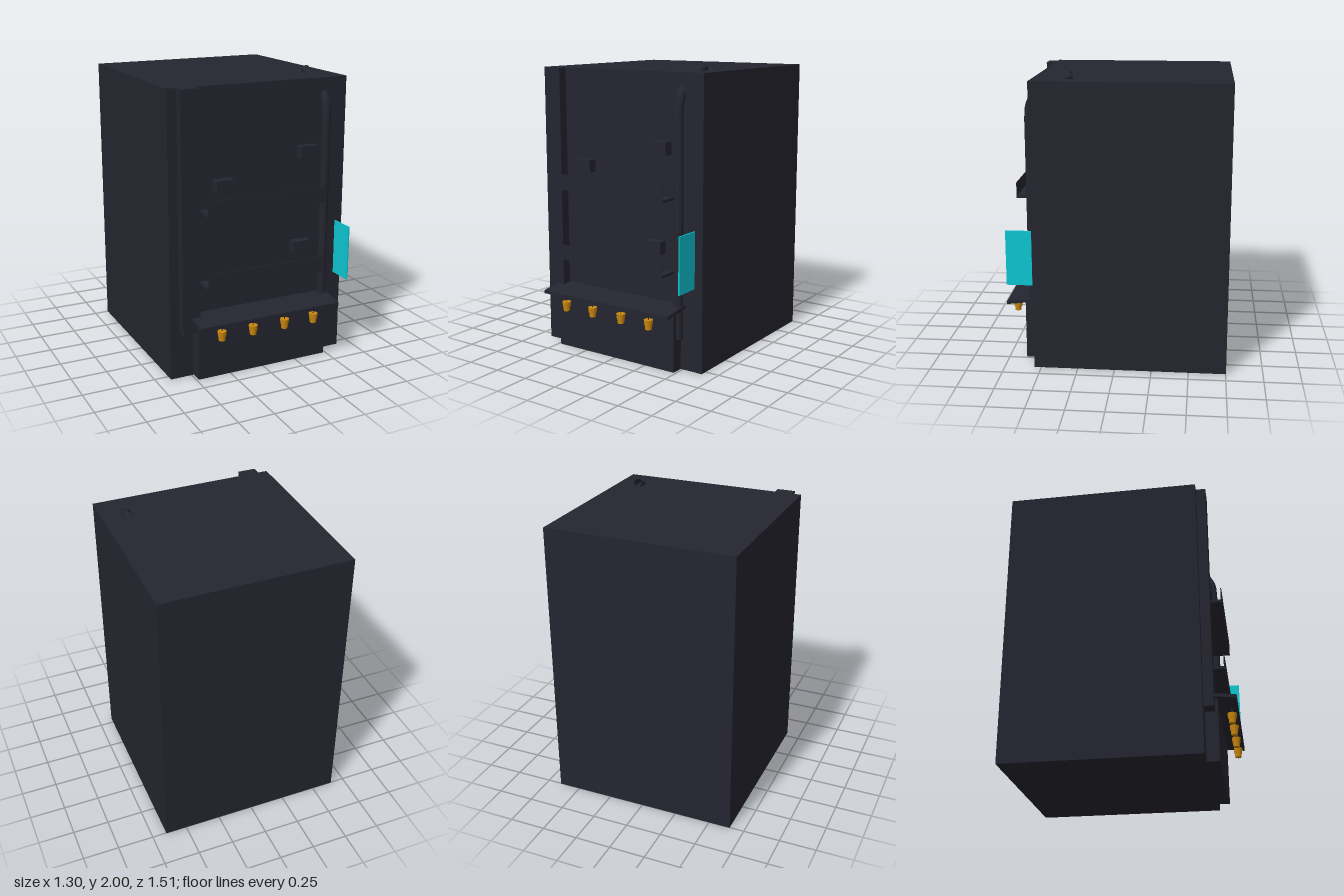
import * as THREE from 'three';

const dark = new THREE.MeshStandardMaterial({ color: 0x252530, side: THREE.DoubleSide });
dark.name = 'charcoal';
const cyan = new THREE.MeshStandardMaterial({ color: 0x0dc8d4 });
cyan.name = 'cyan';
const amber = new THREE.MeshStandardMaterial({ color: 0xcc880e });
amber.name = 'amber';

const WALL = 0.547; // front face of the main body

function add(parent, name, geometry, material, x = 0, y = 0, z = 0) {
  const mesh = new THREE.Mesh(geometry, material);
  mesh.name = name;
  mesh.position.set(x, y, z);
  parent.add(mesh);
  return mesh;
}

// Box given by its extents on each axis
function box(parent, name, material, x0, x1, y0, y1, z0, z1) {
  return add(parent, name, new THREE.BoxGeometry(x1 - x0, y1 - y0, z1 - z0), material,
    (x0 + x1) / 2, (y0 + y1) / 2, (z0 + z1) / 2);
}

export function createModel() {
  const model = new THREE.Group();
  model.name = 'stall';

  // Main block with its front column and counter base
  box(model, 'body', dark, -0.65, 0.65, 0, 1.95, -0.753, WALL);
  box(model, 'column', dark, -0.585, -0.46, 0.33, 1.95, WALL, 0.612);
  box(model, 'counterBase', dark, -0.485, 0.485, 0, 0.42, WALL, 0.63);

  // Sloping counter top, extruded sideways from its side profile
  const profile = new THREE.Shape();
  profile.moveTo(-WALL, 0.425);
  profile.lineTo(-0.753, 0.4);
  profile.lineTo(-0.753, 0.422);
  profile.lineTo(-WALL, 0.447);
  const top = new THREE.ExtrudeGeometry(profile, { depth: 1.04, bevelEnabled: false });
  top.rotateY(Math.PI / 2);
  add(model, 'counterTop', top, dark, -0.52, 0, 0);

  // Two wall racks, each a floor with a thin upright lip
  for (const y of [1.133, 0.643]) {
    const rack = new THREE.Group();
    rack.name = 'rack';
    box(rack, 'rackFloor', dark, -0.435, 0.43, y, y + 0.018, WALL, 0.682);
    box(rack, 'rackLip', dark, -0.435, 0.43, y, y + 0.107, 0.677, 0.683);
    model.add(rack);
  }

  // Small wall boxes
  for (const [x, y] of [[-0.275, 1.302], [0.344, 1.468], [0.3, 0.813]]) {
    box(model, 'wallBox', dark, x - 0.064, x + 0.064, y - 0.043, y + 0.043, WALL, 0.61);
  }

  // Pipe rising up the wall, bending through it and out of the roof
  const bend = new THREE.CatmullRomCurve3([
    [1.62, 0.575], [1.7, 0.574], [1.78, 0.564], [1.84, 0.528], [1.88, 0.474], [1.925, 0.382], [1.973, 0.284],
  ].map(([y, z]) => new THREE.Vector3(0.485, y, z)));
  add(model, 'pipeUpright', new THREE.CylinderGeometry(0.03, 0.03, 1.4, 16), dark, 0.485, 0.92, 0.575);
  add(model, 'pipeBend', new THREE.TubeGeometry(bend, 28, 0.03, 16), dark);

  // Hanging lamps under the counter edge
  for (const x of [-0.352, -0.122, 0.117, 0.342]) {
    const lamp = new THREE.Group();
    lamp.name = 'lamp';
    lamp.position.set(x, 0, 0.712);
    add(lamp, 'lampWire', new THREE.CylinderGeometry(0.003, 0.003, 0.06, 6), dark, 0, 0.385, 0);
    add(lamp, 'lampHead', new THREE.CylinderGeometry(0.031, 0.027, 0.038, 12), amber, 0, 0.341, 0);
    add(lamp, 'lampFoot', new THREE.CylinderGeometry(0.024, 0.022, 0.03, 12), amber, 0, 0.309, 0);
    model.add(lamp);
  }

  // Projecting sign panel
  box(model, 'signPanel', cyan, 0.588, 0.598, 0.57, 0.95, 0.558, 0.733);

  return model;
}
